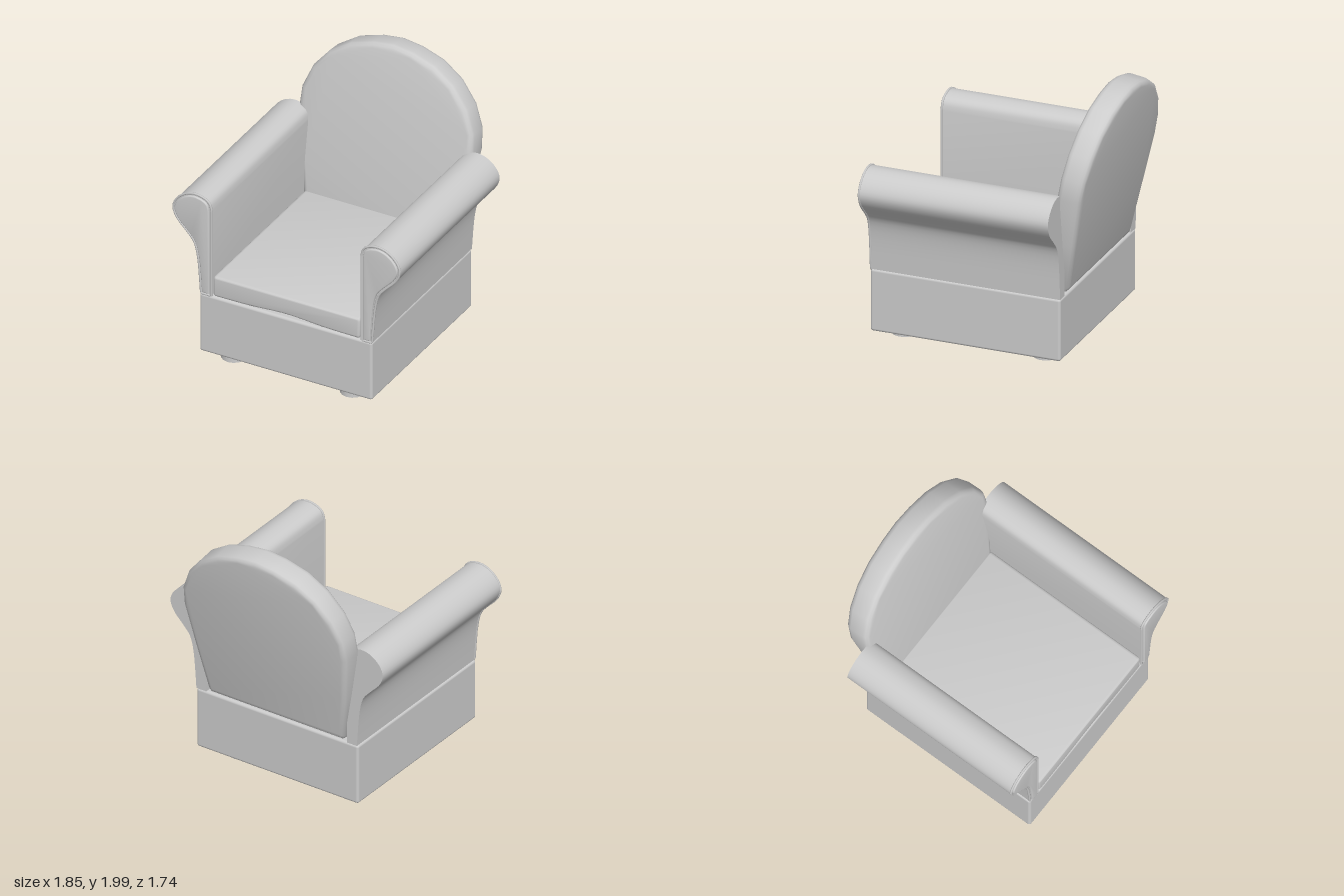
import * as THREE from 'three';
import { toCreasedNormals } from 'three/addons/utils/BufferGeometryUtils.js';
import { RoundedBoxGeometry } from 'three/addons/geometries/RoundedBoxGeometry.js';

const material = new THREE.MeshStandardMaterial({ color: 0xcccccc, side: THREE.DoubleSide });

function part(name, geometry, x = 0, y = 0, z = 0) {
  const mesh = new THREE.Mesh(geometry, material);
  mesh.name = name;
  mesh.position.set(x, y, z);
  return mesh;
}

// Extrude from z0 to z1 with a rounded edge kept inside the outline
function slab(shape, z0, z1, bevel, inset = 0) {
  const g = new THREE.ExtrudeGeometry(shape, {
    depth: z1 - z0 - 2 * bevel, curveSegments: 3, bevelEnabled: bevel > 0,
    bevelThickness: bevel, bevelSize: bevel, bevelOffset: -bevel - inset, bevelSegments: 3,
  });
  g.translate(0, 0, z0 + bevel);
  return g;
}

// Arm cross-section: straight inside, rolled top, tapering outside
function armShape(side) {
  const roll = [[0.625, 1.32], [0.67, 1.355], [0.75, 1.37], [0.83, 1.345], [0.895, 1.285],
    [0.92, 1.21], [0.885, 1.125], [0.8, 1.035], [0.745, 0.96], [0.715, 0.82], [0.695, 0.56]];
  const s = new THREE.Shape();
  s.moveTo(side * 0.61, 0.56);
  s.lineTo(side * 0.61, 1.26);
  s.splineThru(roll.map(([x, y]) => new THREE.Vector2(side * x, y)));
  s.closePath();
  return s;
}

function arm(side) {
  const group = new THREE.Group();
  group.name = side > 0 ? 'leftArm' : 'rightArm';
  const shape = armShape(side);
  group.add(part('armBody', toCreasedNormals(slab(shape, -0.6, 0.855, 0), 0.7)));
  group.add(part('armFrontPanel', toCreasedNormals(slab(shape, 0.83, 0.87, 0.008, 0.016), 0.7)));
  // Piping around the front edge
  const path = new THREE.CurvePath();
  const pts = shape.extractPoints(3).shape.map((p) => new THREE.Vector3(p.x - side * 0.002, p.y, 0.853));
  pts.forEach((p, i) => {
    const q = pts[(i + 1) % pts.length];
    if (p.distanceTo(q) > 1e-4) path.add(new THREE.LineCurve3(p, q));
  });
  group.add(part('armPiping', new THREE.TubeGeometry(path, 120, 0.009, 6, true)));
  return group;
}

// Rounded back, leaning backwards and a little thicker at the top
function backrest() {
  const half = [[0.57, 0.57], [0.59, 0.6], [0.65, 0.97], [0.705, 1.34], [0.695, 1.5], [0.625, 1.67],
    [0.5, 1.82], [0.34, 1.925], [0.16, 1.98]];
  const pts = [...half, [0, 2], ...half.slice().reverse().map(([x, y]) => [-x, y])];
  const shape = new THREE.Shape(pts.map(([x, y]) => new THREE.Vector2(x, y)));
  const g = slab(shape, 0, 0.18, 0.04);
  const p = g.attributes.position;
  for (let i = 0; i < p.count; i++) {
    const y = p.getY(i);
    const t = p.getZ(i) / 0.18;
    const front = -0.47 - 0.165 * (y - 0.73);
    const rear = -0.61 - 0.19 * (y - 0.57);
    p.setZ(i, rear + (front - rear) * t);
    p.setY(i, y - 0.03 * (1 - t) * Math.max(0, (y - 0.57) / 1.43));
  }
  return part('backrest', toCreasedNormals(g, 0.75));
}

// Seat cushion with rounded corners and a slightly lifted lower edge
function cushion() {
  const r = 0.025, w = 0.595, y0 = 0.565, y1 = 0.73;
  const s = new THREE.Shape();
  s.moveTo(-w + r, y0);
  s.splineThru([[-0.3, y0 + 0.004], [0, y0 + 0.022], [0.3, y0 + 0.004], [w - r, y0]]
    .map(([x, y]) => new THREE.Vector2(x, y)));
  s.quadraticCurveTo(w, y0, w, y0 + r);
  s.lineTo(w, y1 - r);
  s.quadraticCurveTo(w, y1, w - r, y1);
  s.lineTo(-w + r, y1);
  s.quadraticCurveTo(-w, y1, -w, y1 - r);
  s.lineTo(-w, y0 + r);
  s.quadraticCurveTo(-w, y0, -w + r, y0);
  return part('seatCushion', toCreasedNormals(slab(s, -0.48, 0.86, 0.018), 0.75));
}

export function createModel() {
  const chair = new THREE.Group();
  chair.name = 'armchair';
  chair.add(part('base', new RoundedBoxGeometry(1.4, 0.48, 1.46, 3, 0.02), -0.005, 0.32, 0.13));
  chair.add(cushion(), backrest(), arm(1), arm(-1));

  // Four round feet
  for (const x of [-0.515, 0.45]) {
    for (const z of [0.695, -0.39]) {
      const g = toCreasedNormals(new THREE.CylinderGeometry(0.093, 0.093, 0.09, 14), 0.7);
      chair.add(part('foot', g, x, 0.045, z));
    }
  }
  return chair;
}
